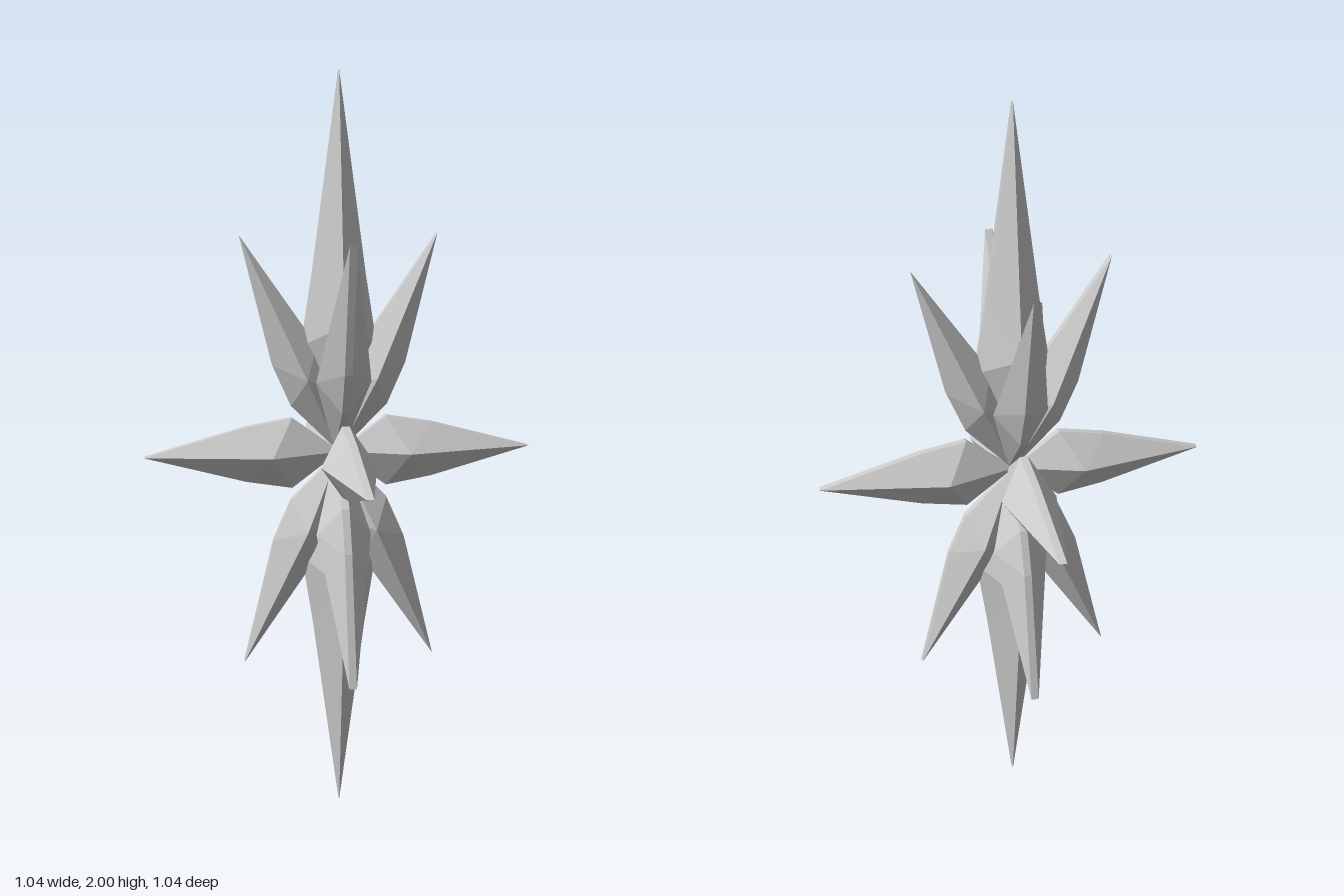
import * as THREE from 'three';

const material = new THREE.MeshStandardMaterial({ color: 0xcccccc, flatShading: true });
const EDGE = 0.01; // half thickness of the blunt rim

// Faceted spike along +x: thin rim outline in xy, with a peak on each z side.
function spikeGeometry(length, [u1, h1], [u2, h2], bulge) {
  const outline = [
    [0, 0], [u1, -h1], [u2, -h2], [length, 0], [u2, h2], [u1, h1],
  ];
  const peak = length * 0.355;
  const pos = [];
  outline.forEach(([ax, ay], i) => {
    const [bx, by] = outline[(i + 1) % outline.length];
    // facets rising to the two side peaks
    pos.push(ax, ay, EDGE, bx, by, EDGE, peak, 0, bulge);
    pos.push(bx, by, -EDGE, ax, ay, -EDGE, peak, 0, -bulge);
    // blunt rim
    pos.push(ax, ay, -EDGE, bx, by, -EDGE, bx, by, EDGE);
    pos.push(ax, ay, -EDGE, bx, by, EDGE, ax, ay, EDGE);
  });
  const geometry = new THREE.BufferGeometry();
  geometry.setAttribute('position', new THREE.Float32BufferAttribute(pos, 3));
  geometry.computeVertexNormals();
  return geometry;
}

export function createModel() {
  const star = new THREE.Group();
  star.name = 'star';

  const vertical = spikeGeometry(1, [0.29, 0.1], [0.48, 0.07], 0.106);
  const horizontal = spikeGeometry(0.52, [0.127, 0.095], [0.25, 0.074], 0.073);
  const diagonal = spikeGeometry(0.636, [0.17, 0.065], [0.29, 0.064], 0.073);

  const addSpike = (parent, name, geometry, angle) => {
    const mesh = new THREE.Mesh(geometry, material);
    mesh.name = name;
    mesh.rotation.z = angle;
    parent.add(mesh);
  };

  // Two crossed fans of side spikes, one facing front and one facing sideways
  const tilt = Math.atan2(0.58, 0.26);
  [0, Math.PI / 2].forEach((turn, i) => {
    const fan = new THREE.Group();
    fan.name = i ? 'frontBackSpikes' : 'leftRightSpikes';
    fan.rotation.y = turn;
    for (const a of [0, Math.PI]) addSpike(fan, 'horizontalSpike', horizontal, a);
    for (const a of [tilt, Math.PI - tilt, Math.PI + tilt, -tilt]) {
      addSpike(fan, 'diagonalSpike', diagonal, a);
    }
    star.add(fan);
  });

  // Long upper and lower spikes
  addSpike(star, 'topSpike', vertical, Math.PI / 2);
  addSpike(star, 'bottomSpike', vertical, -Math.PI / 2);

  star.position.y = 1;
  const model = new THREE.Group();
  model.name = 'starOrnament';
  model.add(star);
  return model;
}
